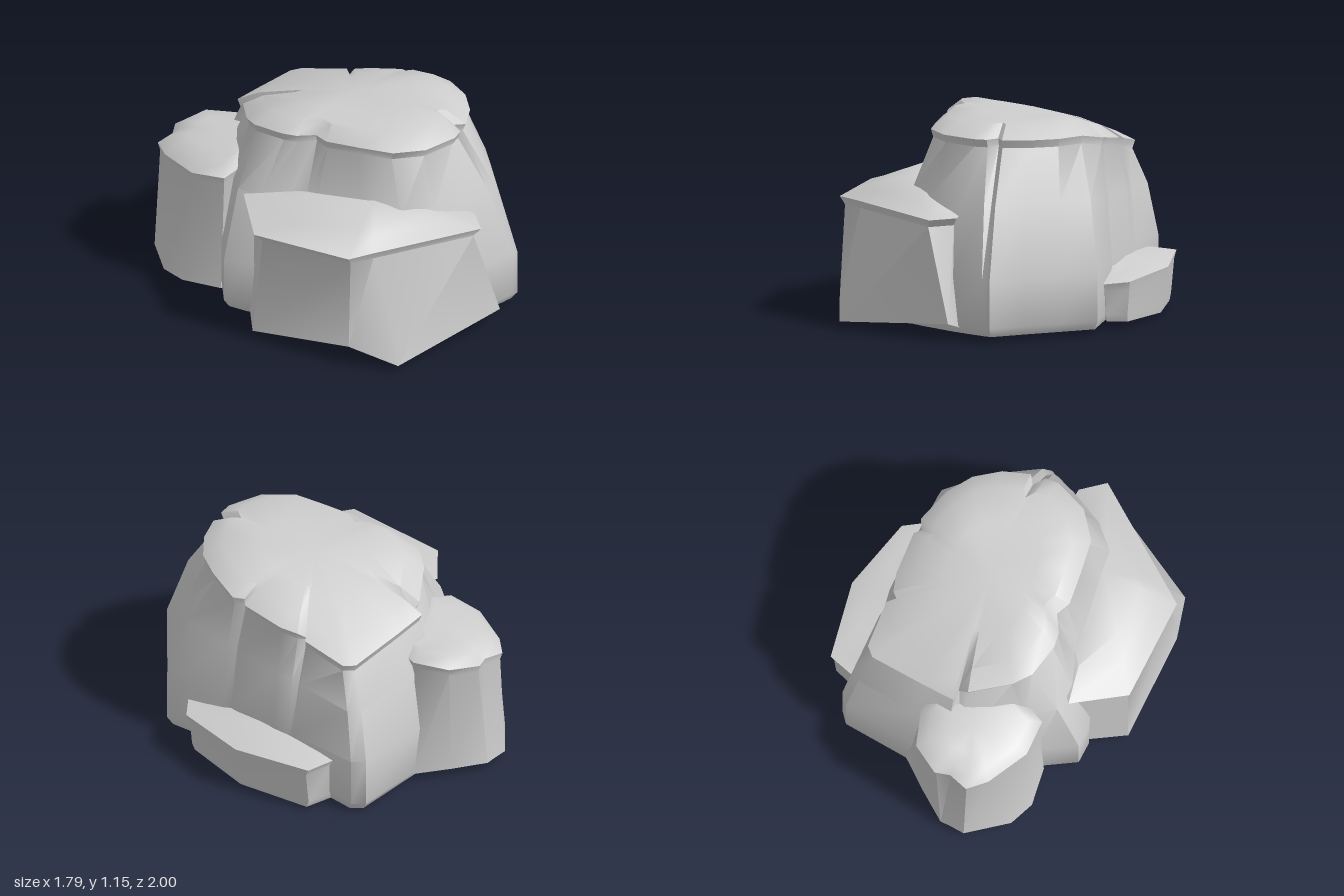
import * as THREE from 'three';
import { toCreasedNormals } from 'three/addons/utils/BufferGeometryUtils.js';

const V = (x, y, z) => new THREE.Vector3(x, y, z);
const { lerp, mapLinear } = THREE.MathUtils;
const stone = new THREE.MeshStandardMaterial({ color: 0xcecece });
stone.name = 'grey stone';

// Skin a stack of rings (bottom to top), closed by a fan at each end.
function loft(rings, bottom, top) {
  const n = rings[0].length;
  const pts = [...rings.flat(), bottom, top];
  const idx = [];
  const b = pts.length - 2, t = pts.length - 1, last = (rings.length - 1) * n;
  for (let i = 0; i < n; i++) {
    const j = (i + 1) % n;
    for (let r = 0; r < rings.length - 1; r++) {
      const p = r * n;
      idx.push(p + i, p + j, p + n + j, p + i, p + n + j, p + n + i);
    }
    idx.push(b, j, i, t, last + i, last + j);
  }
  const g = new THREE.BufferGeometry().setFromPoints(pts);
  g.setIndex(idx);
  return toCreasedNormals(g, 0.72);
}

// Columns run anticlockwise from the front:
// [lipX, lipZ, lipY, baseX, baseZ, baseY, depth of a crevice cut into the top]
function rock(name, cols, o) {
  const [cx, cy, cz] = o.centre;
  const around = (x, y, z, s) => V(cx + (x - cx) * s, y, cz + (z - cz) * s);
  const rings = [];
  if (o.chamfer) rings.push(cols.map(c => around(c[3], c[5], c[4], 0.96)));
  rings.push(cols.map(c => V(c[3], c[5] + (o.chamfer || 0), c[4])));
  if (o.shoulder) {
    // Upright foot, then a slightly bulging wall
    rings.push(cols.map(c => V(c[3], o.shoulder, c[4])));
    rings.push(cols.map(c => V(lerp(c[3], c[0], 0.46), lerp(o.shoulder, c[2], 0.54), lerp(c[4], c[1], 0.46))));
  }
  rings.push(cols.map(c => around(c[0], c[2] - 0.045, c[1], o.under)));
  rings.push(cols.map(c => V(c[0], c[2] - (c[6] || 0), c[1])));
  rings.push(cols.map(c => around(c[0], c[2] + o.rise - (c[6] || 0), c[1], o.crown)));
  rings.push(cols.map(c => around(c[0], lerp(c[2] + o.rise, cy, 0.5), c[1], 0.5)));
  const mesh = new THREE.Mesh(loft(rings, V(cx, 0.035, cz), V(cx, cy, cz)), stone);
  mesh.name = name;
  return mesh;
}

// Piecewise linear height along z.
function heightAt(z, table) {
  for (let i = 1; i < table.length; i++) {
    const [z0, y0] = table[i - 1], [z1, y1] = table[i];
    if (z <= z1) return mapLinear(z, z0, z1, y0, y1);
  }
}

export function createModel() {
  const group = new THREE.Group();
  group.name = 'rockFormation';

  // Main rock: [lipX, lipZ, baseX, baseZ, crevice depth]
  const lipLine = [[-0.83, 0.88], [-0.55, 0.96], [-0.3, 1.02], [-0.05, 1.075], [0.6, 1.085]];
  const main = [
    [0.02, 0.52, 0, 0.76], [0.2, 0.57, 0.2, 0.75], [0.4, 0.52, 0.46, 0.715],
    [0.46, 0.47, 0.67, 0.665], [0.46, 0.39, 0.69, 0.655], [0.52, 0.41, 0.72, 0.65],
    [0.61, 0.28, 0.77, 0.45], [0.66, 0.12, 0.83, 0.24], [0.65, -0.05, 0.89, 0.03],
    [0.59, -0.24, 0.65, -0.25], [0.53, -0.265, 0.61, -0.285], [0.54, -0.31, 0.6, -0.31],
    [0.39, -0.5, 0.44, -0.55], [0.31, -0.56, 0.38, -0.62], [0.24, -0.56, 0.365, -0.64, 0.05],
    [0.28, -0.62, 0.35, -0.66], [0.12, -0.82, 0.12, -0.98], [0.05, -0.83, 0.04, -1],
    [-0.25, -0.66, -0.3, -0.8], [-0.4, -0.57, -0.5, -0.68], [-0.36, -0.51, -0.56, -0.6, 0.05],
    [-0.41, -0.48, -0.6, -0.5], [-0.5, -0.25, -0.68, -0.2], [-0.51, -0.13, -0.77, 0.02],
    [-0.43, 0.05, -0.7, 0.12], [-0.37, 0.11, -0.52, 0.24], [-0.27, 0.15, -0.46, 0.31],
    [-0.25, 0.24, -0.42, 0.36], [-0.12, 0.38, -0.18, 0.6],
  ].map(([x, z, bx, bz, cut]) =>
    [x, z, heightAt(z, lipLine), bx, bz, 0.03 + Math.min(bz + 0.6, 0) * 0.075, cut]);
  group.add(rock('mainRock', main,
    { centre: [0.08, 1.15, -0.08], chamfer: 0.05, shoulder: 0.34, under: 0.975, rise: 0.068, crown: 0.82 }));

  // Front boulder with a sloping cap and a pointed foot
  group.add(rock('frontRock', [
    [-0.25, 0.83, 0.68, -0.18, 1, 0.03], [0.41, 0.83, 0.665, 0.54, 0.8, 0.1],
    [0.45, 0.67, 0.665, 0.5, 0.68, 0.06], [0.3, 0.45, 0.7, 0.3, 0.45, 0.05],
    [0, 0.3, 0.76, 0, 0.3, 0.05], [-0.3, 0.12, 0.72, -0.3, 0.12, 0.05],
    [-0.65, 0.02, 0.73, -0.62, 0.02, 0.05], [-0.745, 0.35, 0.67, -0.75, 0.34, 0.05],
    [-0.4, 0.83, 0.68, -0.4, 0.83, 0.12],
  ], { centre: [-0.1, 0.81, 0.54], under: 0.93, rise: 0.05, crown: 0.72 }));

  // Tall boulder at the back, on the model's right
  group.add(rock('sideRock', [
    [-0.52, -0.2, 0.78, -0.52, -0.2, 0.05], [-0.3, -0.45, 0.78, -0.28, -0.45, 0.05],
    [-0.28, -0.66, 0.76, -0.27, -0.68, 0.05], [-0.31, -0.72, 0.75, -0.28, -0.8, 0.05],
    [-0.48, -0.84, 0.75, -0.5, -0.81, 0.05], [-0.66, -0.82, 0.73, -0.71, -0.81, 0.05],
    [-0.71, -0.75, 0.72, -0.75, -0.78, 0.05], [-0.82, -0.71, 0.71, -0.83, -0.73, 0.05],
    [-0.84, -0.58, 0.71, -0.9, -0.47, 0.05], [-0.8, -0.32, 0.72, -0.86, -0.32, 0.05],
    [-0.68, -0.16, 0.74, -0.7, -0.16, 0.04],
  ], { centre: [-0.55, 0.82, -0.52], under: 0.96, rise: 0.05, crown: 0.8 }));

  // Low ledge at the back, on the model's left
  group.add(rock('lowLedge', [
    [0.8, -0.08, 0.26, 0.77, -0.12, 0.04], [0.85, -0.22, 0.265, 0.82, -0.23, 0.035],
    [0.68, -0.62, 0.28, 0.65, -0.6, 0.02], [0.35, -0.93, 0.29, 0.34, -0.9, 0.01],
    [0.18, -0.87, 0.29, 0.18, -0.85, 0.01], [0.2, -0.65, 0.34, 0.2, -0.65, 0.02],
    [0.45, -0.3, 0.34, 0.45, -0.3, 0.03],
  ], { centre: [0.5, 0.325, -0.5], chamfer: 0.04, under: 0.95, rise: 0.015, crown: 0.8 }));

  return group;
}
